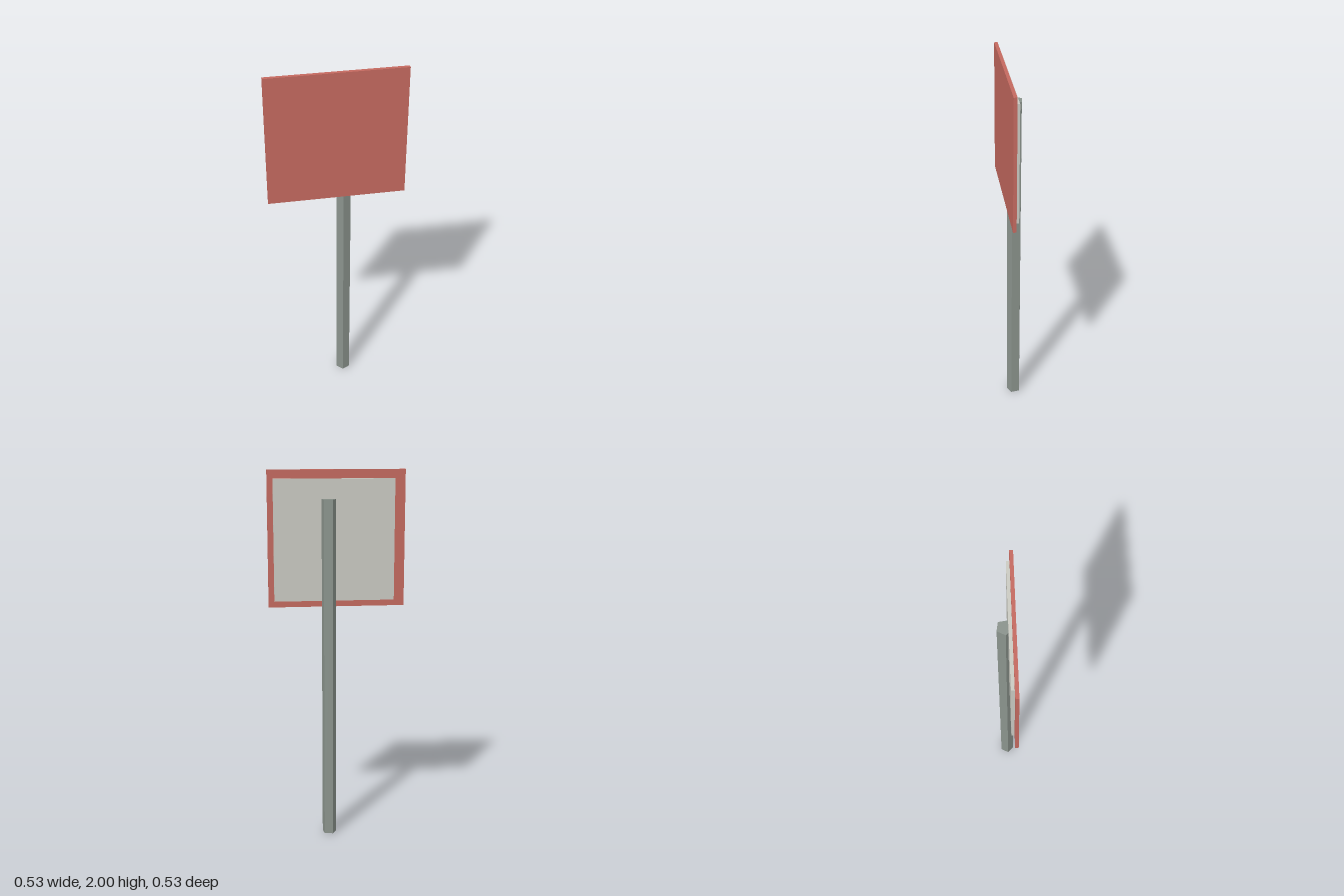
import * as THREE from 'three';

export function createModel() {
  const model = new THREE.Group();
  model.name = 'signpost';

  const material = (name, color) => {
    const m = new THREE.MeshStandardMaterial({ color, flatShading: true });
    m.name = name;
    return m;
  };
  const red = material('brick red', 0xc4695f);
  const paleGrey = material('pale grey', 0xcacac2);
  const postGrey = material('post grey', 0x8a938c);

  const add = (parent, name, geometry, mat, x, y, z) => {
    const mesh = new THREE.Mesh(geometry, mat);
    mesh.name = name;
    mesh.position.set(x, y, z);
    parent.add(mesh);
    return mesh;
  };

  // Five-sided post standing behind the sign, one corner pointing back
  const post = add(model, 'post', new THREE.CylinderGeometry(0.04, 0.04, 1.85, 5), postGrey, 0, 0.925, -0.063);
  post.rotation.y = Math.PI;

  // Sign turned 45 degrees towards the model's left
  const sign = new THREE.Group();
  sign.name = 'sign';
  sign.position.y = 1.64;
  sign.rotation.y = Math.PI / 4;
  model.add(sign);

  add(sign, 'signPanel', new THREE.BoxGeometry(0.725, 0.72, 0.018), red, 0, 0, 0);
  add(sign, 'backingPlate', new THREE.BoxGeometry(0.638, 0.64, 0.017), paleGrey, 0.013, -0.006, -0.0175);

  return model;
}
